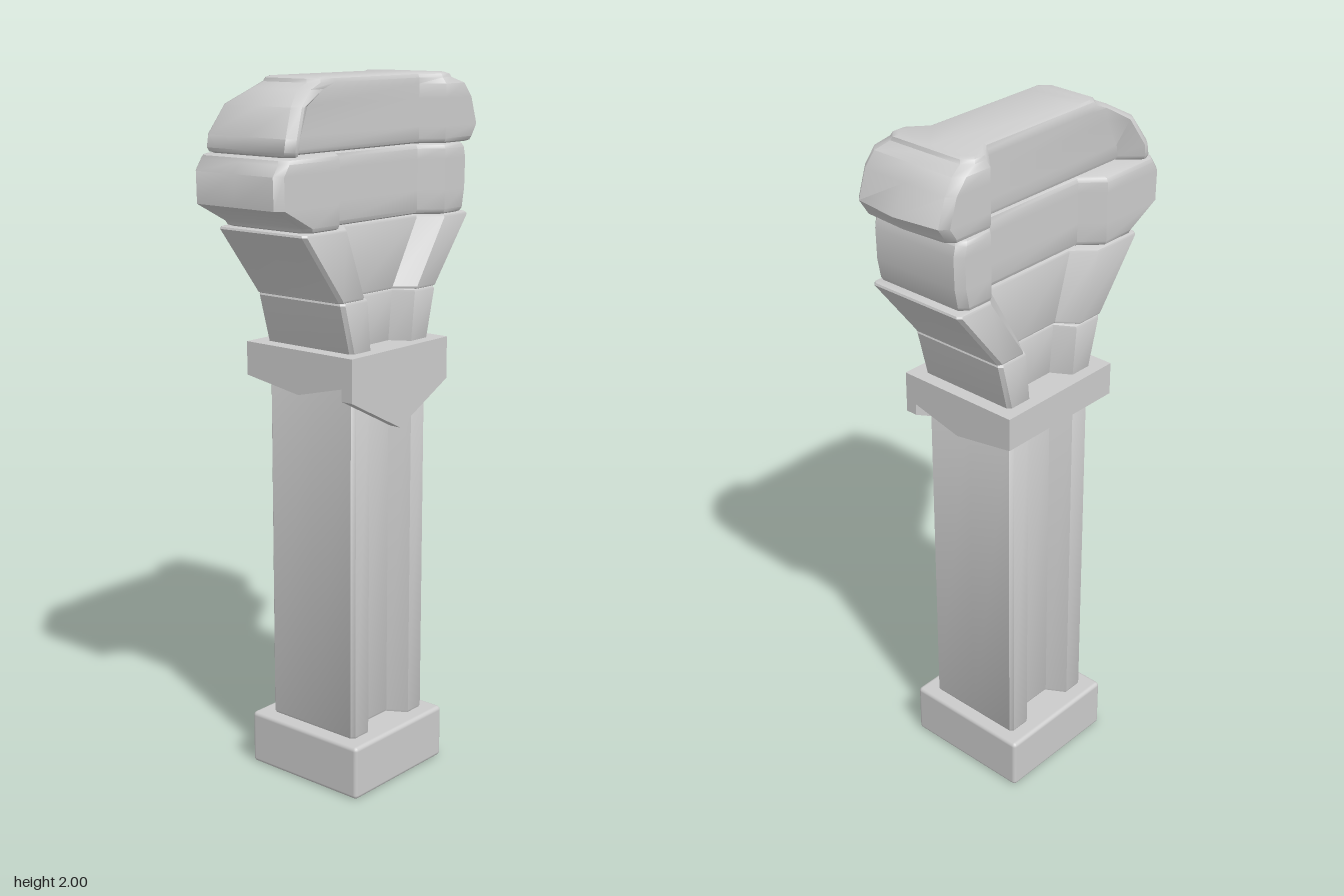
import * as THREE from 'three';
import { toCreasedNormals } from 'three/addons/utils/BufferGeometryUtils.js';
import { RoundedBoxGeometry } from 'three/addons/geometries/RoundedBoxGeometry.js';

const material = new THREE.MeshStandardMaterial({ color: 0xcccccc });
const CENTRE = 0.015;

// Plan outline of a block: wide ends with a recessed middle on front and back.
// l, r: ends; gl, gr: outer recess edges; w: recess slope; z, zl: half depth right, left;
// d: half depth of the recess; c: corner cut; tip: how far the right end bulges
function outline({ l, r, gl, gr, w = 0.033, z = 0.155, zl = z, d = 0.1, c = 0.01, tip = 0 }, inset = 0) {
  l += inset; r -= inset; z -= inset; zl -= inset; d -= inset;
  const front = [
    [l, zl - c], [l + c, zl], [gl, zl], [gl + w, d],
    [gr - w, d], [gr, z], [r - c, z], [r, z - c],
  ];
  const back = front.map(([x, v]) => [x, -v]).reverse();
  return [...front, [r + tip, 0], ...back, [l, 0]];
}

// Loft through outlines given as levels with a y, softening the top and bottom edges
function block(levels, bevel = 0.01, crease = 0.6) {
  const first = levels[0], last = levels[levels.length - 1], rings = [];
  const ring = (level, y, inset) => rings.push({ y, pts: outline(level, inset) });
  ring(first, first.y, bevel);
  ring(first, first.y + bevel * 0.3, bevel * 0.3);
  ring(first, first.y + bevel, 0);
  levels.slice(1, -1).forEach((level) => ring(level, level.y, 0));
  ring(last, last.y - bevel, 0);
  ring(last, last.y - bevel * 0.3, bevel * 0.3);
  ring(last, last.y, bevel);

  const n = rings[0].pts.length, pos = [], index = [];
  rings.forEach(({ y, pts }) => pts.forEach(([x, z]) => pos.push(x, y, z)));
  for (let k = 0; k < rings.length - 1; k++) {
    for (let i = 0; i < n; i++) {
      const a = k * n + i, b = k * n + (i + 1) % n;
      index.push(a, b, b + n, a, b + n, a + n);
    }
  }
  const cap = (k, flip) => {
    const flat = rings[k].pts.map(([x, z]) => new THREE.Vector2(x, -z));
    for (const [a, b, c] of THREE.ShapeUtils.triangulateShape(flat, [])) {
      const o = k * n;
      index.push(o + a, o + (flip ? c : b), o + (flip ? b : c));
    }
  };
  cap(0, true);
  cap(rings.length - 1, false);
  const geometry = new THREE.BufferGeometry();
  geometry.setAttribute('position', new THREE.Float32BufferAttribute(pos, 3));
  geometry.setIndex(index);
  return toCreasedNormals(geometry, crease);
}

// Straight extrusion of a polygon, centred on its depth
function slab(points, depth) {
  const shape = new THREE.Shape(points.map(([x, y]) => new THREE.Vector2(x, y)));
  return new THREE.ExtrudeGeometry(shape, { depth, bevelEnabled: false }).translate(0, 0, -depth / 2);
}

export function createModel() {
  const model = new THREE.Group();
  const add = (name, geometry) => {
    const mesh = new THREE.Mesh(geometry, material);
    mesh.name = name;
    model.add(mesh);
    return mesh;
  };

  // Square foot
  add('base', new RoundedBoxGeometry(0.395, 0.158, 0.4, 2, 0.012)).position.set(CENTRE, 0.079, 0);

  // Shaft with a channel on front and back
  const channel = { l: -0.142, r: 0.175, gl: -0.075, gr: 0.108 };
  add('shaft', block([{ ...channel, y: 0.155 }, { ...channel, y: 1.22 }]));

  // Collar with shallow points on its sides and a deep pointed plate in front
  const collar = slab([[-0.16, 1.19], [0, 1.15], [0.19, 1.18], [0.19, 1.275], [-0.16, 1.275]], 0.415);
  add('collar', collar.rotateY(Math.PI / 2)).position.x = CENTRE;
  const plate = slab([[-0.2075, 1.155], [0, 1.05], [0.2075, 1.155], [0.2075, 1.275], [-0.2075, 1.275]], 0.035);
  add('collarPoint', plate).position.set(CENTRE, 0, 0.1735);

  // Flaring capital, stacked from four stones
  add('neckStone', block([
    { y: 1.265, l: -0.148, r: 0.183, gl: -0.072, gr: 0.105 },
    { y: 1.418, l: -0.186, r: 0.217, gl: -0.085, gr: 0.12 },
  ], 0.008));
  add('flaredStone', block([
    { y: 1.416, l: -0.195, r: 0.223, gl: -0.1, gr: 0.13, w: 0.04 },
    { y: 1.613, l: -0.335, r: 0.365, gl: -0.17, gr: 0.25, w: 0.055 },
  ], 0.008));
  const third = { gl: -0.2, gr: 0.25, w: 0.055, c: 0.02 };
  add('overhangingStone', block([
    { ...third, y: 1.613, l: -0.325, r: 0.35 },
    { ...third, y: 1.68, l: -0.428, r: 0.36 },
    { ...third, y: 1.765, l: -0.43, r: 0.362 },
    { ...third, y: 1.808, l: -0.41, r: 0.355 },
  ], 0.014, 0.75));
  const top = { gr: 0.25, w: 0.05, c: 0.02 };
  add('topStone', block([
    { ...top, y: 1.808, l: -0.388, r: 0.39, gl: -0.355, tip: 0.01 },
    { ...top, y: 1.855, l: -0.382, r: 0.412, gl: -0.35, tip: 0.018 },
    { ...top, y: 1.93, l: -0.34, r: 0.387, gl: -0.31, zl: 0.135 },
    { ...top, y: 1.97, l: -0.275, r: 0.358, gl: -0.25, zl: 0.103, c: 0.025 },
    { ...top, y: 2.0, l: -0.235, r: 0.315, gl: -0.2, z: 0.142, zl: 0.1, c: 0.025 },
  ], 0.014, 0.75));

  return model;
}
